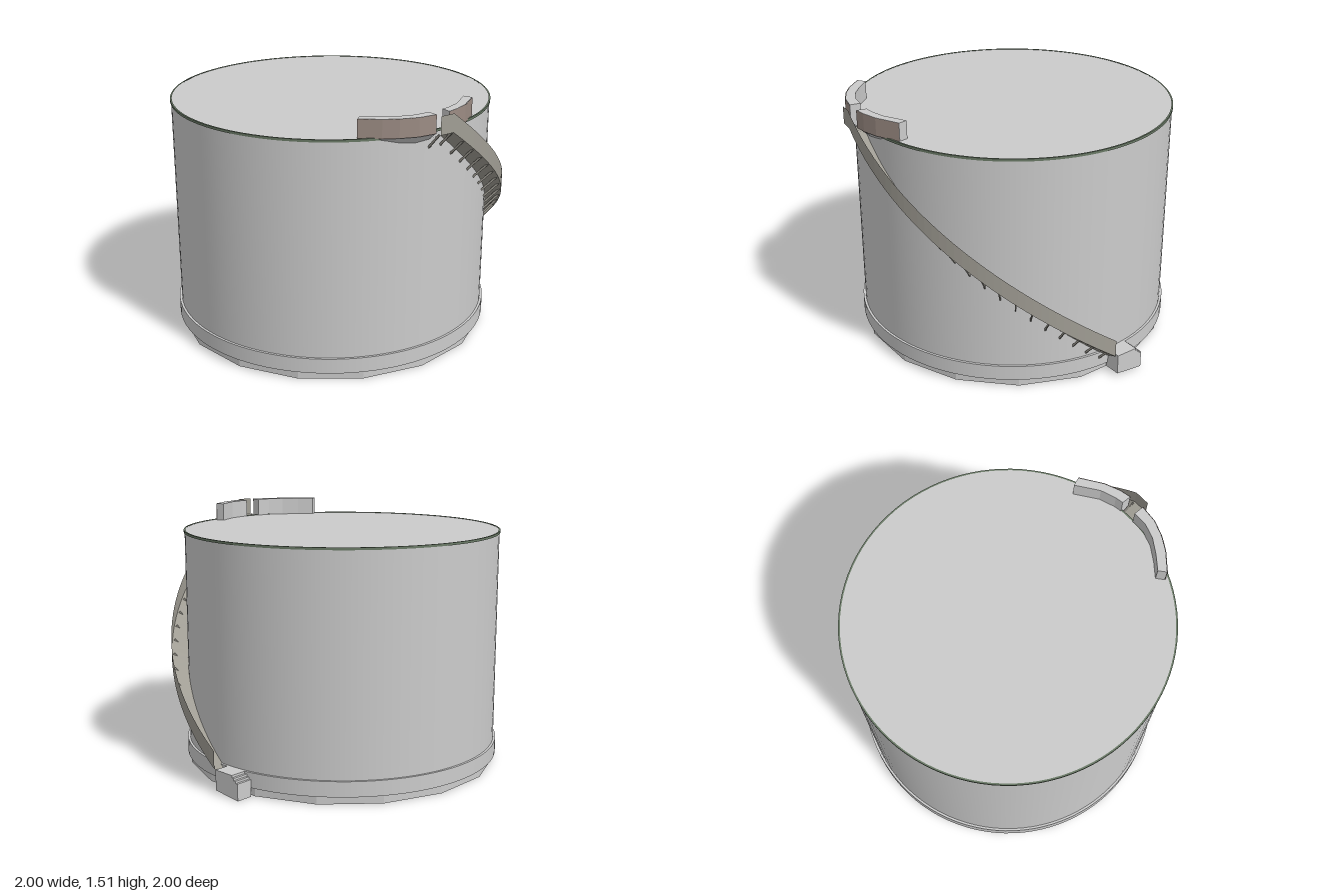
import * as THREE from 'three';

const CX = -0.043, CZ = -0.043, R = 0.943, TOP = 1.41;
const RAD = Math.PI / 180;

const mat = (color, flat = false) => new THREE.MeshStandardMaterial({ color, flatShading: flat, side: THREE.DoubleSide });
const grey = mat(0xcccccc), greyFlat = mat(0xcccccc, true);
const stairMat = mat(0xa09d94, true), panelMat = mat(0x9c8c84, true);
const rimMat = mat(0x6a7a66);

function add(parent, name, geometry, material) {
  const mesh = new THREE.Mesh(geometry, material);
  mesh.name = name;
  parent.add(mesh);
  return mesh;
}

// Joins cross-sections (rows of [x, y, z]) into one surface
function loft(rows, closed = false) {
  const n = rows[0].length, pos = rows.flat(2), idx = [];
  for (let i = 0; i < rows.length - 1; i++) {
    for (let j = 0; j < (closed ? n : n - 1); j++) {
      const k = (j + 1) % n, a = i * n + j, b = i * n + k, c = a + n, d = b + n;
      idx.push(a, c, b, b, c, d);
    }
  }
  if (closed) {
    const e = (rows.length - 1) * n;
    for (let j = 1; j < n - 1; j++) idx.push(0, j, j + 1, e, e + j + 1, e + j);
  }
  const g = new THREE.BufferGeometry();
  g.setAttribute('position', new THREE.Float32BufferAttribute(pos, 3));
  g.setIndex(idx);
  g.computeVertexNormals();
  return g;
}

// Point around the tank axis; 0 degrees is the front, 90 the left side
const polar = (deg, r, y) => [r * Math.sin(deg * RAD), y, r * Math.cos(deg * RAD)];

// Height of the stair's outer edge: level at the landing, then falling evenly
const A_TOP = 5, A_FOOT = 100;
const stairY = (deg) => TOP - 1.27 * Math.max(0, deg - A_TOP) / (A_FOOT - A_TOP);

function buildTank(tank) {
  const wall = add(tank, 'wall', new THREE.CylinderGeometry(R, R, TOP - 0.05, 96, 1, true), grey);
  wall.position.y = (TOP + 0.05) / 2;
  const roof = add(tank, 'roof', new THREE.CircleGeometry(R, 96), grey);
  roof.rotation.x = -Math.PI / 2;
  roof.position.y = TOP;

  // Narrow rim at the top edge and wider band near the base
  const band = (name, r, y0, y1, material) => add(tank, name, new THREE.LatheGeometry(
    [[R, y0], [r, y0], [r, y0], [r, y1], [r, y1], [R - 0.005, y1]].map(([x, y]) => new THREE.Vector2(x, y)), 96), material);
  band('topRim', 0.948, 1.4, 1.414, rimMat);
  band('baseBand', 0.957, 0.05, 0.14, grey);

  // Sixteen-sided foot with corner plates around an open octagon
  const skirt = add(tank, 'skirt', new THREE.CylinderGeometry(R, R, 0.05, 16, 1, true), greyFlat);
  skirt.position.y = 0.025;
  const corners = [];
  for (let i = 0; i < 8; i++) {
    for (const k of [2, 1, 0]) corners.push(...polar((2 * i + k) * 22.5, R, 0));
  }
  const plates = new THREE.BufferGeometry();
  plates.setAttribute('position', new THREE.Float32BufferAttribute(corners, 3));
  plates.computeVertexNormals();
  add(tank, 'cornerPlates', plates, greyFlat);
}

function buildStair(stair) {
  // Outer side panel and the inward-sloping walkway share the same path
  const angles = [0];
  for (let i = 0; i <= 40; i++) angles.push(A_TOP + (A_FOOT - A_TOP) * i / 40);
  add(stair, 'stairRailing', loft(angles.map((a) =>
    [polar(a, 1.04, stairY(a) + 0.105), polar(a, 1.04, stairY(a))])), stairMat);
  add(stair, 'stairWalkway', loft(angles.map((a) =>
    [polar(a, 1.04, stairY(a)), polar(a, R, stairY(a) - 0.04)])), stairMat);

  // Slanted struts from the walkway down to the wall
  const run = 0.085, drop = 0.09;
  for (let i = -1; i < 19; i++) {
    const a = Math.max(0, A_TOP + i * 5.1);
    const pivot = new THREE.Group();
    pivot.name = 'strutMount';
    pivot.rotation.y = a * RAD;
    stair.add(pivot);
    const strut = add(pivot, 'strut', new THREE.BoxGeometry(0.007, 0.012, Math.hypot(run, drop)), stairMat);
    strut.position.set(0, stairY(a) - drop / 2, R + run / 2);
    strut.rotation.x = -Math.atan2(drop, run);
  }
}

// Curved parapet: solid section whose underside slopes inward and down
function parapet(parent, name, outer, inner) {
  const y1 = 1.515;
  add(parent, name, loft(outer.map(([x, z], i) => {
    const [u, w] = inner[i];
    return [[x, y1, z], [u, y1, w], [u, 1.36, w], [x, TOP, z]];
  }), true), greyFlat);
  // Thin coloured facing on the outside
  const out = outer.map(([x, z], i) => {
    const dx = x - inner[i][0], dz = z - inner[i][1], l = Math.hypot(dx, dz);
    return [x + 0.003 * dx / l, z + 0.003 * dz / l];
  });
  add(parent, name + 'Facing', loft(out.map(([x, z]) => [[x, y1, z], [x, TOP, z]])), panelMat);
}

export function createModel() {
  const model = new THREE.Group();
  model.name = 'storageTank';

  const tank = new THREE.Group();
  tank.name = 'tank';
  tank.position.set(CX, 0, CZ);
  buildTank(tank);

  const stair = new THREE.Group();
  stair.name = 'spiralStair';
  stair.position.set(CX, 0, CZ);
  buildStair(stair);

  // Landing at the head of the stair, open in the middle
  const landing = new THREE.Group();
  landing.name = 'landing';
  parapet(landing, 'rightParapet',
    [[-0.44, 0.79], [-0.33, 0.87], [-0.25, 0.915], [-0.15, 0.95], [-0.043, 0.957]].map(([x, z]) => [Math.max(x, -0.43), z]),
    [[-0.39, 0.755], [-0.31, 0.815], [-0.22, 0.87], [-0.13, 0.897], [-0.043, 0.895]]);
  parapet(landing, 'leftParapet',
    [[0.052, 0.947], [0.12, 0.93], [0.21, 0.89], [0.335, 0.8]],
    [[0.052, 0.89], [0.1, 0.88], [0.19, 0.845], [0.315, 0.75]]);

  // Stepped block at the foot of the stair
  const profile = new THREE.Shape([[0, 0.02], [0.18, 0], [0.18, 0.1], [0.165, 0.1], [0.165, 0.113],
    [0.15, 0.113], [0.15, 0.126], [0.135, 0.126], [0.135, 0.14], [0, 0.14]].map(([x, y]) => new THREE.Vector2(x, y)));
  const foot = add(model, 'footSteps', new THREE.ExtrudeGeometry(profile, { depth: 0.1, bevelEnabled: false }), greyFlat);
  foot.position.set(0.885, 0, -0.22);
  foot.rotation.y = 101.3 * RAD;

  model.add(tank, stair, landing);
  return model;
}
